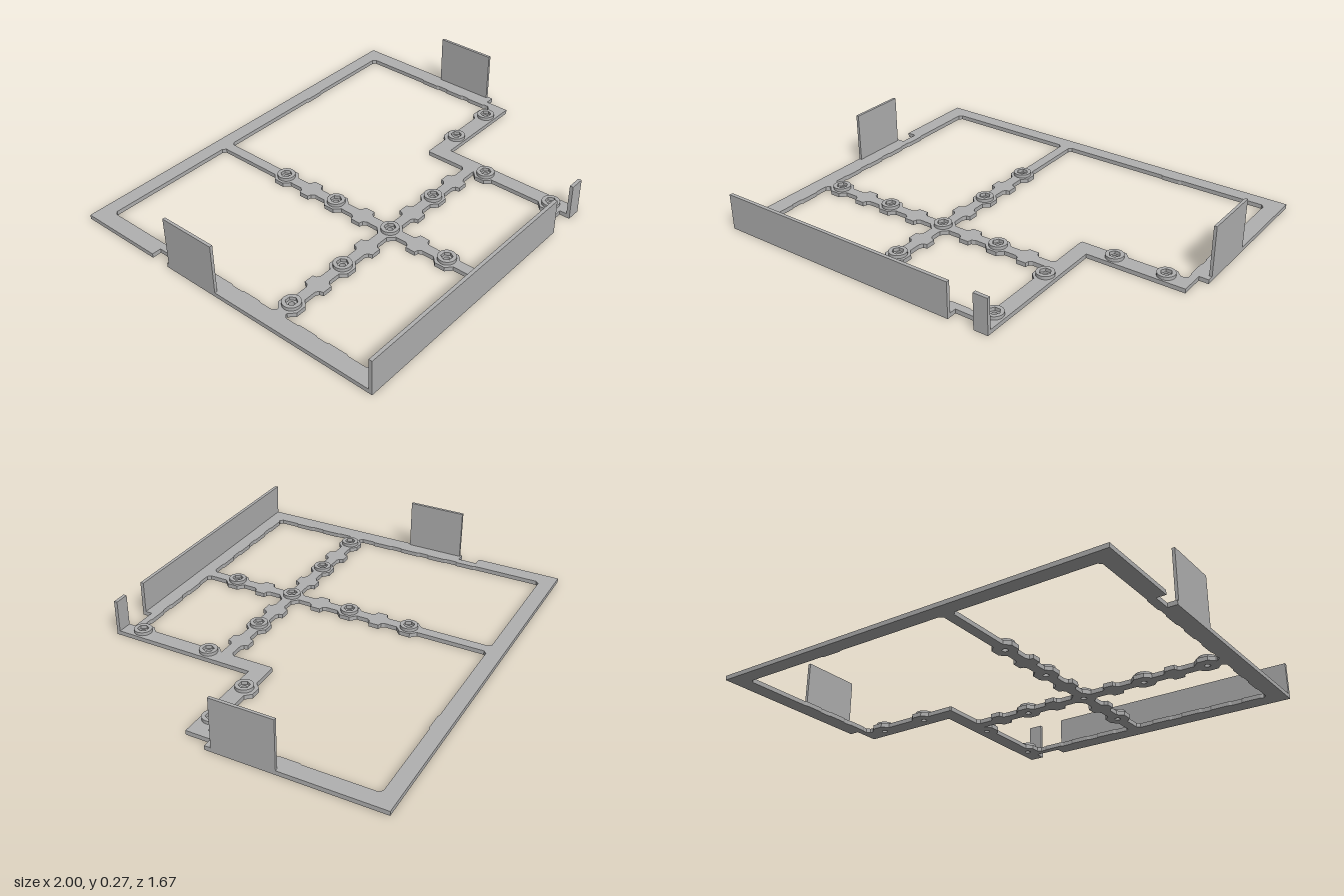
import * as THREE from 'three';

const T = 0.021; // plate thickness
const grey = new THREE.MeshStandardMaterial({ color: 0xb0b0b0 });
grey.name = 'grey';

// Bump profiles along an edge: [offset along, depth into the opening]
const PAD = [[-0.053, 0], [-0.026, 0.028], [0.026, 0.028], [0.053, 0]];
const TAB = [[-0.045, 0], [-0.03, 0.01], [-0.025, 0.028], [0.025, 0.028], [0.03, 0.01], [0.045, 0]];
const WAVE = [[-0.055, 0], [-0.045, 0.005], [0.045, 0.005], [0.055, 0]];

const pads = (...at) => at.map((p) => [p, PAD]);
const tabs = (...at) => at.map((p) => [p, TAB]);
const waves = (...at) => at.map((p) => [p, WAVE]);

// Opening outline from corners [x, z, chamfer, bumps on the edge that starts here]
function opening(corners) {
  const pts = [];
  corners.forEach(([x, z, cut, bumps = []], i) => {
    const [nx, nz, nextCut] = corners[(i + 1) % corners.length];
    const a = new THREE.Vector2(x, z);
    const b = new THREE.Vector2(nx, nz);
    const dir = b.clone().sub(a).normalize();
    const inward = new THREE.Vector2(-dir.y, dir.x);
    const alongX = Math.abs(dir.x) > 0.5;
    pts.push(a.clone().addScaledVector(dir, cut));
    bumps
      .map(([p, profile]) => [alongX ? (p - x) * dir.x : (p - z) * dir.y, profile])
      .sort((p, q) => p[0] - q[0])
      .forEach(([t, profile]) => profile.forEach(([s, d]) =>
        pts.push(a.clone().addScaledVector(dir, t + s).addScaledVector(inward, d))));
    if (nextCut > 0) pts.push(b.clone().addScaledVector(dir, -nextCut));
  });
  return new THREE.Path(pts);
}

function ringPath(x, z, r, sides) {
  const pts = [];
  for (let i = 0; i < sides; i++) {
    const a = (i / sides) * Math.PI * 2;
    pts.push(new THREE.Vector2(x + r * Math.cos(a), z + r * Math.sin(a)));
  }
  return pts;
}

// Extrude an x-z outline upward from y = base
function slab(shape, base, height) {
  const g = new THREE.ExtrudeGeometry(shape, { depth: height, bevelEnabled: false });
  g.rotateX(Math.PI / 2);
  g.translate(0, base + height, 0);
  return g;
}

export function createModel() {
  const group = new THREE.Group();
  group.name = 'mountingFrame';
  const add = (name, geometry) => {
    const mesh = new THREE.Mesh(geometry, grey);
    mesh.name = name;
    group.add(mesh);
    return mesh;
  };

  const bosses = [
    [-0.845, 0.275], [-0.53, 0.275], [-0.21, 0.275], [0.105, 0.275],
    [-0.21, -0.36], [-0.21, -0.045], [-0.21, 0.59],
    [0.58, 0.06], [0.835, 0.06], [0.413, 0.355], [0.413, 0.72],
  ];

  // Flat frame with cross bars, openings and screw holes
  const plate = new THREE.Shape([
    [-1, -0.833], [1, -0.833], [1, -0.012], [0.953, -0.012], [0.953, 0.11], [0.465, 0.11],
    [0.465, 0.833], [0.393, 0.833], [0.393, 0.782], [0.263, 0.782], [0.263, 0.833],
    [-1, 0.833], [-1, -0.31], [-0.955, -0.31], [-0.955, -0.405], [-1, -0.405],
  ].map(([x, z]) => new THREE.Vector2(x, z)));
  const c = 0.015;
  plate.holes.push(
    opening([ // back, right half of the plan's left side
      [-0.92, -0.76, c],
      [-0.235, -0.76, c, [...pads(-0.36, -0.045), ...tabs(-0.2, 0.115)]],
      [-0.235, 0.25, 0.03, [...pads(-0.53, -0.845), ...tabs(-0.37, -0.685)]],
      [-0.92, 0.25, c, waves(-0.36, -0.2, -0.045, 0.115)],
    ]),
    opening([ // large back opening with a stepped corner
      [-0.185, -0.76, c, waves(0.42)],
      [0.92, -0.76, c, waves(-0.36, -0.2, -0.06)],
      [0.92, 0.03, c, pads(0.58, 0.835)],
      [0.39, 0.03, 0.005],
      [0.39, 0.25, c, [...pads(0.105), ...tabs(0.265, -0.05)]],
      [-0.185, 0.25, 0.03, [...pads(-0.36, -0.045), ...tabs(-0.2, 0.115)]],
    ]),
    opening([ // front opening on the -x side
      [-0.92, 0.3, c, [...pads(-0.845, -0.53), ...tabs(-0.685, -0.37)]],
      [-0.235, 0.3, 0.03, [...pads(0.59), ...tabs(0.43)]],
      [-0.235, 0.75, c, waves(-0.37, -0.53, -0.685, -0.845)],
      [-0.92, 0.75, c, waves(0.43, 0.59)],
    ]),
    opening([ // front opening on the +x side
      [-0.185, 0.3, 0.03, [...pads(0.105), ...tabs(-0.05, 0.265)]],
      [0.39, 0.3, 0.001, pads(0.355)],
      [0.39, 0.667, 0], [0.362, 0.694, 0],
      [0.362, 0.75, c, waves(0.265, 0.105, -0.05)],
      [-0.185, 0.75, c, [...pads(0.59), ...tabs(0.43)]],
    ]),
  );
  bosses.forEach(([x, z]) => plate.holes.push(new THREE.Path(ringPath(x, z, 0.014, 16))));
  add('framePlate', slab(plate, 0, T));

  // Round bosses with hexagonal nut pockets
  const ring = new THREE.Shape(ringPath(0, 0, 0.0425, 24));
  ring.holes.push(new THREE.Path(ringPath(0, 0, 0.027, 6)));
  const bossGeometry = slab(ring, T, 0.016);
  bosses.forEach(([x, z], i) => add(`nutBoss${i + 1}`, bossGeometry).position.set(x, 0, z));

  // Upright walls standing on the rim: x range, z range, top
  const wall = (name, x0, x1, z0, z1, top) => {
    const g = new THREE.BoxGeometry(x1 - x0, top - T, z1 - z0);
    add(name, g).position.set((x0 + x1) / 2, (top + T) / 2, (z0 + z1) / 2);
  };
  wall('frontWall', -1, 0.263, 0.816, 0.833, 0.177);
  wall('frontPost', 0.393, 0.465, 0.816, 0.833, 0.177);
  wall('leftWall', 0.986, 1, -0.342, -0.042, 0.265);
  wall('rightWall', -1, -0.986, -0.3, -0.015, 0.265);

  return group;
}
